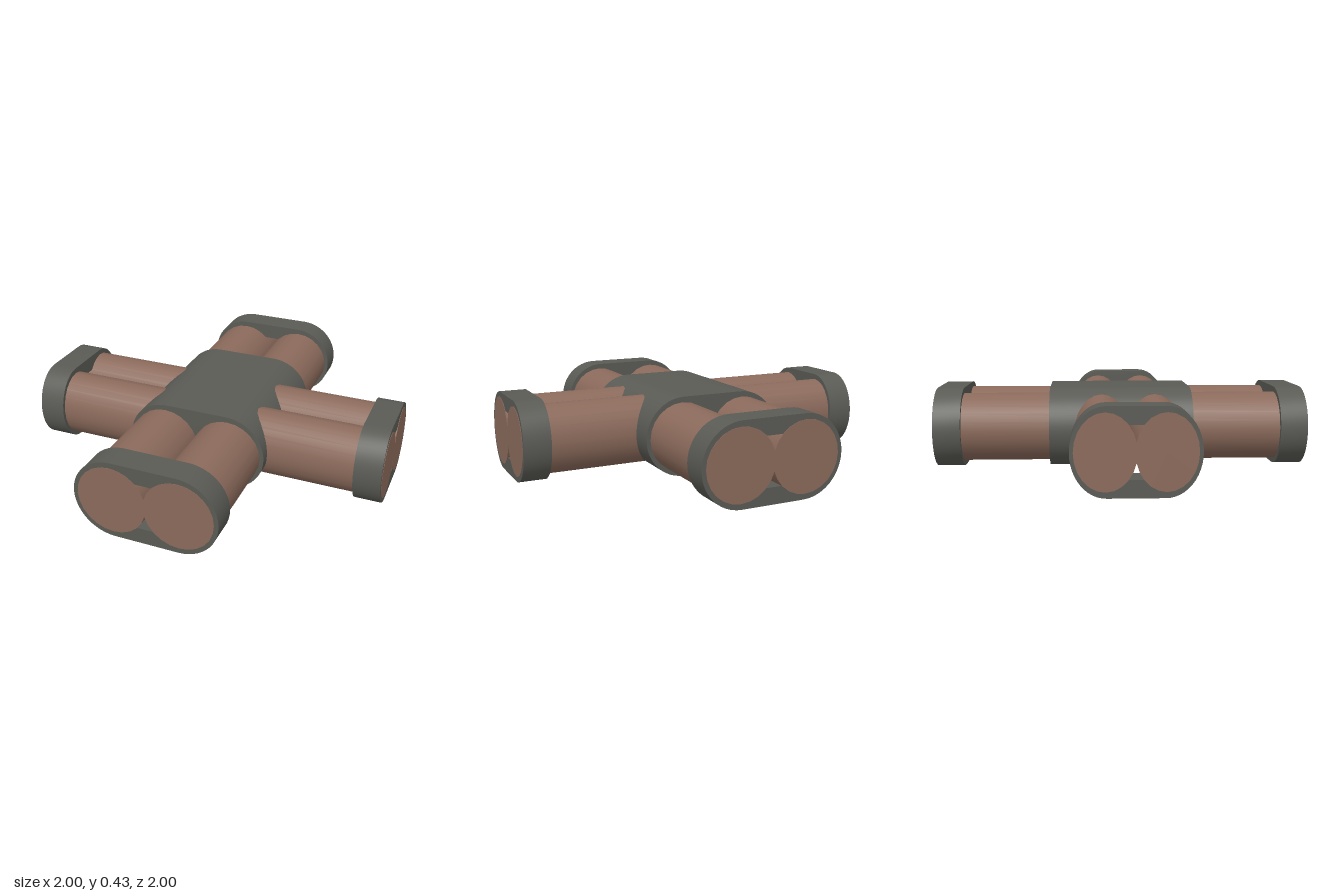
import * as THREE from 'three';
import { toCreasedNormals } from 'three/addons/utils/BufferGeometryUtils.js';

const MID = 0.214;   // height of the pipe axes
const FLAT = 0.171;  // half length of the straight side of the collars

// Rounded slot outline centred on the origin
function slot(path, r, flat) {
  path.absarc(flat, 0, r, -Math.PI / 2, Math.PI / 2, false);
  path.absarc(-flat, 0, r, Math.PI / 2, Math.PI * 1.5, false);
  path.closePath();
  return path;
}

// Collar extruded along z from z0 to z1, optionally with a slot-shaped opening
function collar(z0, z1, open) {
  const shape = slot(new THREE.Shape(), MID, FLAT);
  if (open) shape.holes.push(slot(new THREE.Path(), 0.127, FLAT));
  const geo = new THREE.ExtrudeGeometry(shape, { depth: z1 - z0, bevelEnabled: false, curveSegments: 12 });
  geo.translate(0, 0, z0);
  return toCreasedNormals(geo, 0.6);
}

export function createModel() {
  const iron = new THREE.MeshStandardMaterial({ color: 0x5a5b55 });
  iron.name = 'dark grey iron';
  const copper = new THREE.MeshStandardMaterial({ color: 0x8b6a5b });
  copper.name = 'brown copper';

  const model = new THREE.Group();
  model.name = 'pipeCrossing';

  const add = (parent, geo, mat, name) => {
    const mesh = new THREE.Mesh(geo, mat);
    mesh.name = name;
    parent.add(mesh);
    return mesh;
  };

  // Pair of parallel pipes along z with a collar on each end
  function pipeRun(name) {
    const run = new THREE.Group();
    run.name = name;
    for (const s of [-1, 1]) {
      const pipe = new THREE.CylinderGeometry(0.185, 0.185, 2, 24);
      pipe.rotateX(Math.PI / 2);
      add(run, pipe, copper, 'pipe').position.x = s * 0.178;
      const [z0, z1] = s > 0 ? [0.853, 0.998] : [-0.998, -0.853];
      add(run, collar(z0, z1, true), iron, 'endCollar');
    }
    run.position.y = MID;
    model.add(run);
    return run;
  }

  pipeRun('longitudinalPipes');

  // Crossing pair: narrower and set slightly forward
  const cross = pipeRun('crossPipes');
  cross.rotation.y = Math.PI / 2;
  cross.scale.x = 0.8;
  cross.position.z = 0.038;

  // Solid block where the pipes meet
  add(model, collar(-0.385, 0.383, false), iron, 'centreHub').position.y = MID;

  return model;
}
